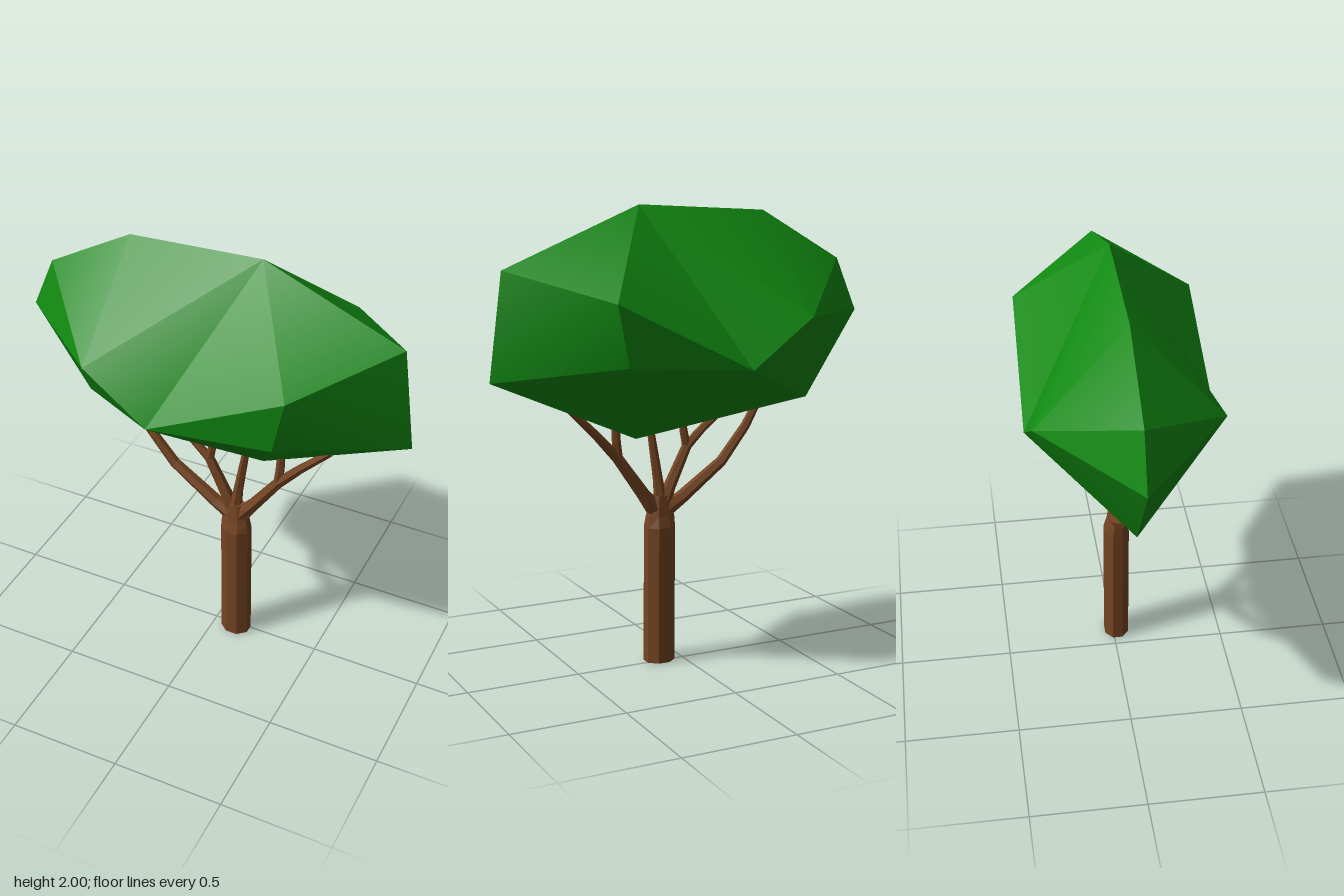
import * as THREE from 'three';
import { toCreasedNormals } from 'three/addons/utils/BufferGeometryUtils.js';

const leafMat = new THREE.MeshStandardMaterial({ color: 0x118a11 });
const barkMat = new THREE.MeshStandardMaterial({ color: 0x754522, flatShading: true });
const Z = 0.015; // plane holding the trunk and all limbs

// Faceted canopy: an outline in the z = 0 plane plus four bulge points, mirrored front to back
function canopyGeometry() {
  const pts = [
    [-0.87, 1.51, 0], [-0.77, 1.745, 0], [-0.39, 1.965, 0], [0.2, 2, 0],
    [0.81, 1.75, 0], [0.87, 1.295, 0], [0.22, 1.01, 0], [-0.62, 1.13, 0],
    [-0.42, 1.54, 0.385], [-0.13, 1.335, 0.4], [0.47, 1.635, 0.385], [0.41, 1.375, 0.36],
  ];
  const faces = [
    [0, 8, 1], [1, 8, 2], [2, 8, 3], [8, 9, 3], [9, 10, 3], [10, 4, 3], [10, 5, 4],
    [11, 5, 10], [9, 11, 10], [7, 9, 8], [7, 8, 0], [7, 6, 9], [6, 11, 9], [6, 5, 11],
  ];
  const pos = [];
  for (const [a, b, c] of faces) {
    for (const i of [a, b, c]) pos.push(...pts[i]);
    for (const i of [a, c, b]) pos.push(pts[i][0], pts[i][1], -pts[i][2]);
  }
  const g = new THREE.BufferGeometry();
  g.setAttribute('position', new THREE.Float32BufferAttribute(pos, 3));
  return toCreasedNormals(g, 0.45);
}

// Tapered limb through stations [x, y, in-plane radius, depth radius], with closed ends
function limb(name, stations, sides = 6) {
  const pos = [], index = [];
  const n = stations.length;
  stations.forEach(([x, y, r, rz], i) => {
    const a = stations[Math.max(i - 1, 0)], b = stations[Math.min(i + 1, n - 1)];
    const t = new THREE.Vector2(b[0] - a[0], b[1] - a[1]).normalize();
    for (let k = 0; k < sides; k++) {
      const ang = ((k + 0.5) / sides) * Math.PI * 2;
      const u = Math.cos(ang) * r;
      pos.push(x + t.y * u, y - t.x * u, Z + Math.sin(ang) * rz);
    }
  });
  for (let i = 0; i < n - 1; i++) {
    for (let k = 0; k < sides; k++) {
      const p = i * sides + k, q = i * sides + ((k + 1) % sides);
      index.push(p, p + sides, q, q, p + sides, q + sides);
    }
  }
  const last = (n - 1) * sides;
  for (let k = 1; k < sides - 1; k++) {
    index.push(0, k, k + 1, last, last + k + 1, last + k);
  }
  const g = new THREE.BufferGeometry();
  g.setAttribute('position', new THREE.Float32BufferAttribute(pos, 3));
  g.setIndex(index);
  g.computeVertexNormals();
  const mesh = new THREE.Mesh(g, barkMat);
  mesh.name = name;
  return mesh;
}

export function createModel() {
  const tree = new THREE.Group();
  tree.name = 'tree';

  const canopy = new THREE.Mesh(canopyGeometry(), leafMat);
  canopy.name = 'canopy';
  tree.add(canopy);

  // Trunk narrows in depth where it splits
  tree.add(limb('trunk', [
    [0.107, 0, 0.07, 0.059], [0.103, 0.61, 0.07, 0.059],
    [0.1, 0.66, 0.065, 0.045], [0.1, 0.75, 0.04, 0.03],
  ], 8));

  // Limbs fan out and end inside the canopy
  const branches = new THREE.Group();
  branches.name = 'branches';
  branches.add(
    limb('rightLimb', [
      [0.1, 0.67, 0.042, 0.035], [0.0, 0.725, 0.03, 0.03], [-0.2, 0.87, 0.024, 0.024],
      [-0.32, 1.02, 0.021, 0.019], [-0.4, 1.16, 0.017, 0.016],
    ]),
    limb('leftLimb', [
      [0.11, 0.67, 0.045, 0.035], [0.18, 0.76, 0.03, 0.03], [0.3, 0.93, 0.025, 0.022],
      [0.4, 1.04, 0.02, 0.018], [0.53, 1.17, 0.016, 0.015],
    ]),
    limb('leftTwig', [[0.295, 0.92, 0.02, 0.018], [0.305, 1.0, 0.02, 0.017], [0.31, 1.12, 0.018, 0.015]]),
    limb('centreLimb', [[0.095, 0.7, 0.03, 0.03], [0.11, 0.82, 0.022, 0.022], [0.15, 1.08, 0.015, 0.015]]),
    limb('innerLimb', [
      [0.09, 0.69, 0.035, 0.032], [0.055, 0.78, 0.027, 0.027], [-0.03, 0.955, 0.022, 0.02],
      [-0.11, 1.03, 0.018, 0.017], [-0.23, 1.12, 0.015, 0.015],
    ]),
    limb('innerTwig', [[-0.03, 0.945, 0.02, 0.018], [-0.015, 1.02, 0.018, 0.016], [-0.005, 1.1, 0.016, 0.014]]),
  );
  tree.add(branches);
  return tree;
}
